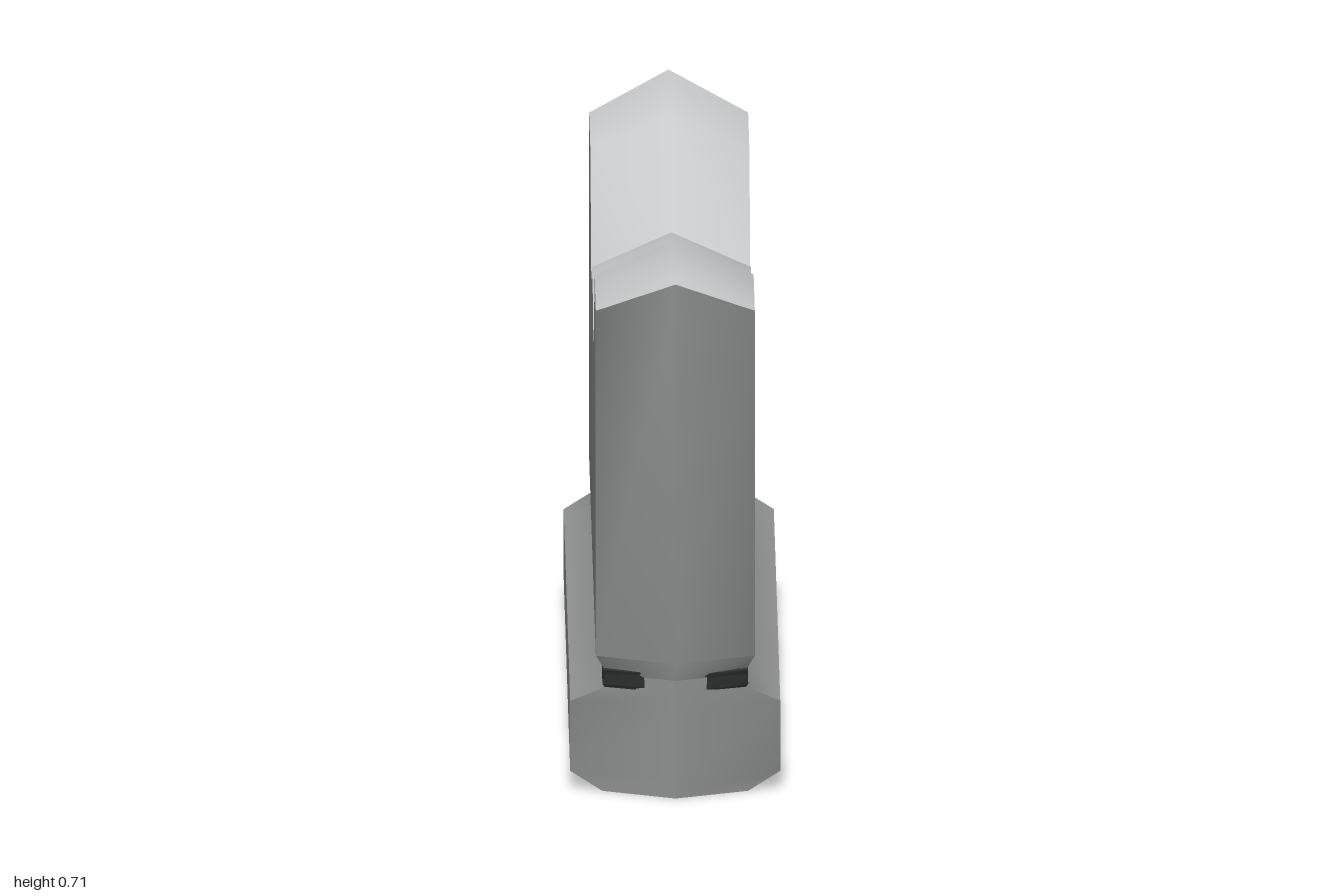
import * as THREE from 'three';
import { toCreasedNormals } from 'three/addons/utils/BufferGeometryUtils.js';

// Ridge height along the length: high ends, two dips and a raised middle
const crest = [[1, 0.713], [0.585, 0.713], [0.34, 0.58], [0.215, 0.58], [0.17, 0.611]];
const CAP = 0.048; // drop from ridge to eave
const TAPER = 0.72; // how far each pointed end recedes per unit of half width

// Sweeps half of a cross-section along the length, brings both ends to a
// vertical knife edge, then turns a copy by 180 degrees for the other half.
// Each row is { x, tip, y(crestHeight) }; zx sets the end corner, tipY the knife edge.
function buildWall(rows) {
  const grid = rows.map(({ x, tip, y, zx = x, tipY = y }) => {
    const half = [
      [0, tipY(crest[0][1]), tip],
      [x, y(crest[0][1]), tip - TAPER * zx],
      ...crest.slice(1).map(([z, h]) => [x, y(h), z]),
    ];
    const back = half.map(([px, py, pz]) => [px, py, -pz]).reverse();
    return [...half, ...back].map((p) => new THREE.Vector3(...p));
  });

  const positions = [];
  const addTriangle = (a, b, c) => {
    const area = b.clone().sub(a).cross(c.clone().sub(a)).length();
    if (area < 1e-7) return; // rows meet at the pointed ends
    for (const s of [1, -1]) {
      for (const p of [a, b, c]) positions.push(s * p.x, p.y, s * p.z);
    }
  };
  for (let i = 0; i < grid.length - 1; i++) {
    for (let j = 0; j < grid[i].length - 1; j++) {
      const a = grid[i][j], b = grid[i][j + 1];
      const c = grid[i + 1][j + 1], d = grid[i + 1][j];
      addTriangle(a, b, c);
      addTriangle(a, c, d);
    }
  }
  const geometry = new THREE.BufferGeometry();
  geometry.setAttribute('position', new THREE.Float32BufferAttribute(positions, 3));
  return toCreasedNormals(geometry, THREE.MathUtils.degToRad(60));
}

function makeMaterial(name, color) {
  const material = new THREE.MeshStandardMaterial({ color });
  material.name = name;
  return material;
}

export function createModel() {
  const group = new THREE.Group();
  group.name = 'wallSegment';
  const stone = makeMaterial('grey stone', 0x949796);
  const paleStone = makeMaterial('pale cap stone', 0xcacccd);
  const darkJoint = makeMaterial('dark joint', 0x303232);

  const add = (name, material, rows) => {
    const mesh = new THREE.Mesh(buildWall(rows), material);
    mesh.name = name;
    group.add(mesh);
  };
  const level = (x, y, tip, zx) => ({ x, tip, zx, y: () => y });

  // Chamfered plinth, including its underside
  add('plinth', stone, [
    level(0, 0, 0.995, 0.1),
    level(0.1, 0, 0.995),
    level(0.144, 0.023, 0.995),
    level(0.144, 0.12, 0.995),
    level(0.101, 0.142, 0.995),
    level(0.093, 0.163, 0.995),
  ]);

  // Thin dark line in the neck, sinking into the stone before the pointed ends
  add('neckJoint', darkJoint, [
    level(0.097, 0.145, 0.991, 0.087),
    level(0.1, 0.149, 0.991, 0.087),
    level(0.0965, 0.163, 0.991, 0.084),
    level(0.0995, 0.169, 0.991, 0.084),
    level(0.096, 0.171, 0.991, 0.087),
  ]);

  // Upper wall
  const eave = { x: 0.109, tip: 1, y: (h) => h - CAP, tipY: (h) => h };
  add('wall', stone, [
    level(0.093, 0.163, 0.995),
    level(0.109, 0.187, 1),
    eave,
  ]);

  // Pale sloping cap
  add('cap', paleStone, [
    eave,
    { x: 0, tip: 1, zx: 0.109, y: (h) => h },
  ]);
  return group;
}
